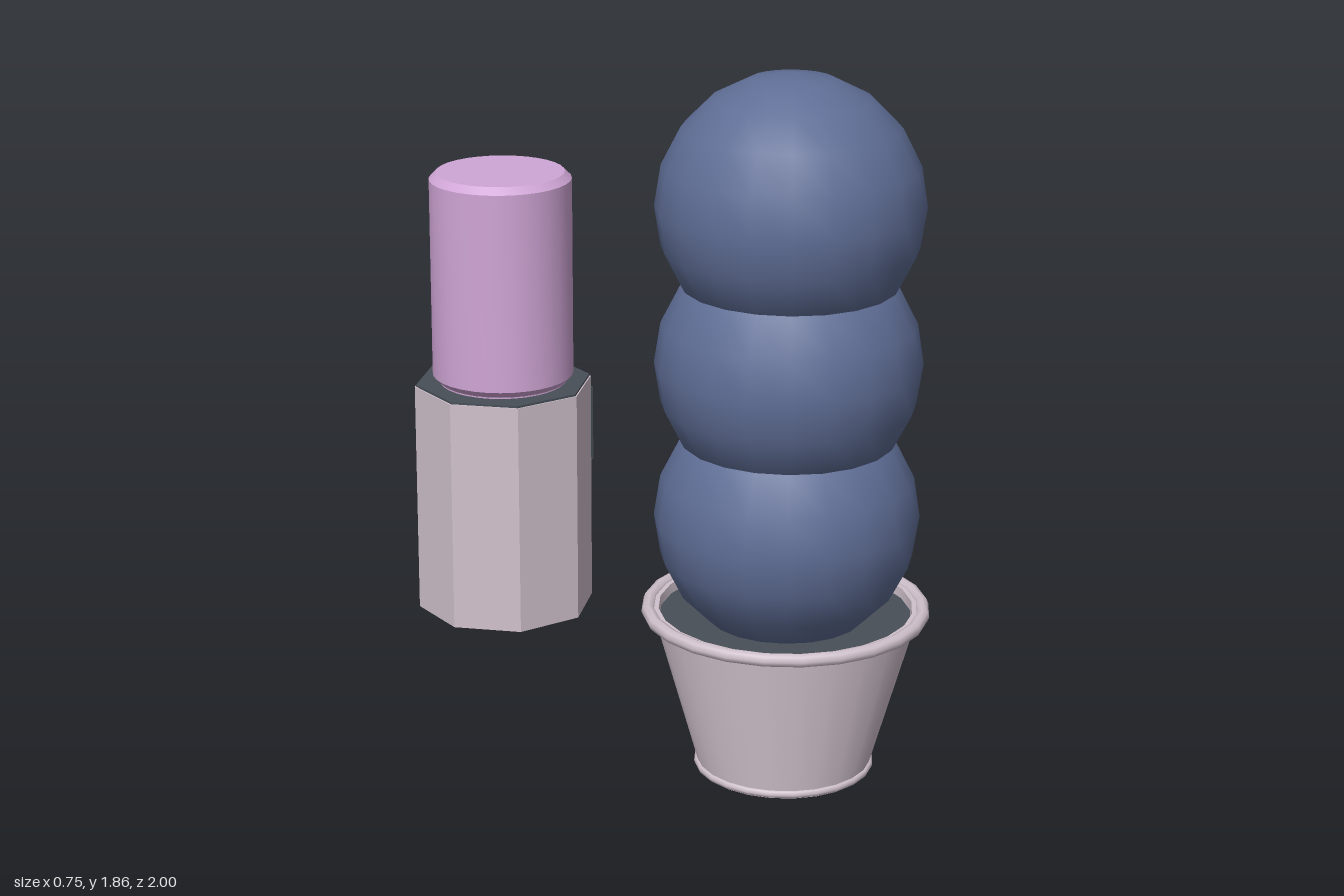
import * as THREE from 'three';
import { toCreasedNormals } from 'three/addons/utils/BufferGeometryUtils.js';

const mat = (name, color) => Object.assign(new THREE.MeshStandardMaterial({ color }), { name });

export function createModel() {
  const clay = mat('pale mauve', 0xd0c1cc);
  const blue = mat('slate blue', 0x5f6e96);
  const pink = mat('orchid pink', 0xd0a6d6);
  const dark = mat('dark slate', 0x474f58);

  const model = new THREE.Group();
  model.name = 'potPlantAndCanister';

  const add = (group, name, geometry, material, x = 0, y = 0, z = 0) => {
    const mesh = new THREE.Mesh(geometry, material);
    mesh.name = name;
    mesh.position.set(x, y, z);
    group.add(mesh);
    return mesh;
  };
  const lathe = (points, sides) => toCreasedNormals(
    new THREE.LatheGeometry(points.map(([r, y]) => new THREE.Vector2(r, y)), sides), 0.5);

  // Potted plant
  const plant = new THREE.Group();
  plant.name = 'pottedPlant';
  plant.position.z = 0.625;
  model.add(plant);

  // Tapered pot with a hollow top
  add(plant, 'pot', lathe(
    [[0, 0], [0.228, 0], [0.228, 0.022], [0.342, 0.425], [0.342, 0.445], [0.33, 0.445], [0.325, 0.4]], 24), clay);
  const ring = (name, radius, tube, y) => {
    add(plant, name, new THREE.TorusGeometry(radius, tube, 8, 24), clay, 0, y).rotation.x = Math.PI / 2;
  };
  ring('potRim', 0.357, 0.018, 0.438);
  ring('potFoot', 0.225, 0.011, 0.011);
  add(plant, 'soil', new THREE.CylinderGeometry(0.332, 0.325, 0.02, 24), dark, 0, 0.41);

  // Three stacked, overlapping balls
  for (let i = 0; i < 3; i++) {
    add(plant, `plantBall${i + 1}`, new THREE.SphereGeometry(0.342, 20, 10), blue, 0, 0.694 + i * 0.41);
  }

  // Canister on an octagonal base
  const canister = new THREE.Group();
  canister.name = 'canister';
  canister.position.z = -0.76;
  model.add(canister);

  const octagon = (radius, height) =>
    toCreasedNormals(new THREE.CylinderGeometry(radius, radius, height, 8).rotateY(Math.PI / 8), 0.5);
  const outer = 0.24 / Math.cos(Math.PI / 8);
  add(canister, 'octagonalBase', octagon(outer, 0.684), clay, 0, 0.342);
  add(canister, 'baseTopPlate', octagon(outer - 0.004, 0.007), dark, 0, 0.6865);
  add(canister, 'sidePanel', new THREE.BoxGeometry(0.04, 0.226, 0.126), dark, 0.248, 0.523, 0.005);

  // Cylinder with bevelled ends
  add(canister, 'cylinderBody', lathe(
    [[0, 0.688], [0.185, 0.688], [0.185, 0.694], [0.205, 0.714], [0.205, 1.295], [0.185, 1.315], [0, 1.315]], 32), pink);

  return model;
}
